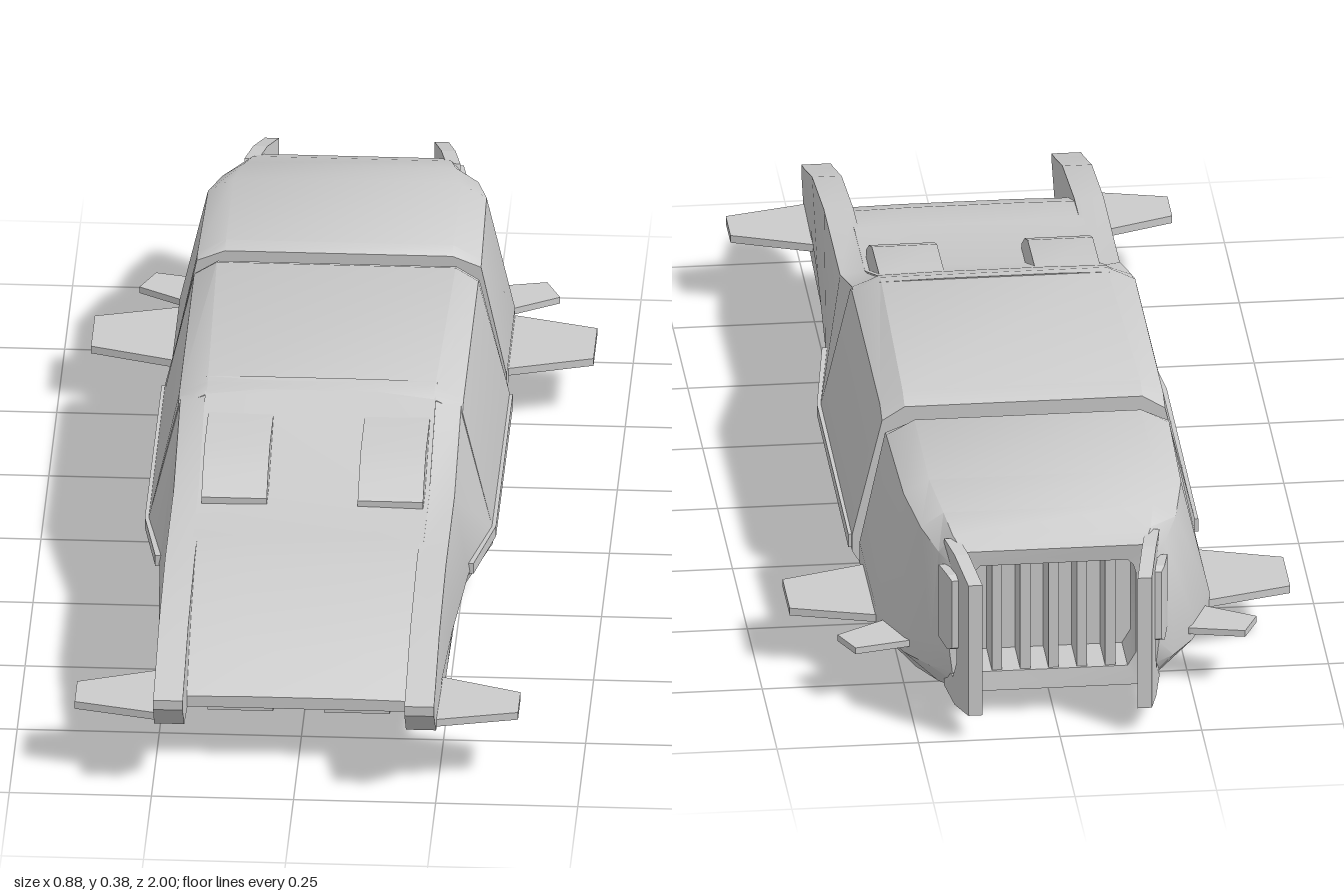
import * as THREE from 'three';
import { toCreasedNormals } from 'three/addons/utils/BufferGeometryUtils.js';

const material = new THREE.MeshStandardMaterial({ color: 0xcccccc });

// Skin rings of [x, y] points (counter-clockwise seen from +z), listed from back to front; side -1 mirrors in x.
function loft(sections, side = 1, crease = 0.5) {
  const rings = sections.map(([z, pts]) => {
    const ring = pts.map(([x, y, dz = 0]) => [x * side, y, z + dz]);
    return side < 0 ? ring.reverse() : ring;
  });
  const n = rings[0].length;
  const index = [];
  for (let i = 0; i < rings.length - 1; i++) {
    for (let j = 0; j < n; j++) {
      const k = (j + 1) % n;
      const a = i * n + j, b = i * n + k, c = a + n, d = b + n;
      index.push(a, b, d, a, d, c);
    }
  }
  const last = (rings.length - 1) * n;
  for (let j = 1; j < n - 1; j++) {
    index.push(0, j + 1, j, last, last + j, last + j + 1);
  }
  const g = new THREE.BufferGeometry();
  g.setAttribute('position', new THREE.Float32BufferAttribute(rings.flat(2), 3));
  g.setIndex(index);
  return toCreasedNormals(g, crease);
}

// Close a right-half outline (bottom to top) into a symmetric ring.
const symmetric = (half) => [...half, ...half.map(([x, y]) => [-x, y]).reverse()];
const rect = (x0, x1, y0, y1) => [[x0, y0], [x1, y0], [x1, y1], [x0, y1]];

// Flat horizontal plate from [x, z] corners.
function plate(corners, y, thickness, side) {
  const shape = new THREE.Shape(corners.map(([x, z]) => new THREE.Vector2(x * side, -z)));
  const g = new THREE.ExtrudeGeometry(shape, { depth: thickness, bevelEnabled: false });
  return g.rotateX(-Math.PI / 2).translate(0, y, 0);
}

export function createModel() {
  const model = new THREE.Group();
  const add = (name, geometry) => {
    const mesh = new THREE.Mesh(geometry, material);
    mesh.name = name;
    model.add(mesh);
    return mesh;
  };

  // Main body, octagonal in section
  const body = (z, top, inset) => [z, symmetric([
    [0.25, 0.002], [0.303, 0.09], [0.303, 0.12], [0.25, top - 0.025], [0.21 - inset, top],
  ])];
  add('mainBody', loft([
    body(-0.385, 0.365, 0), body(-0.35, 0.38, 0), body(0.12, 0.38, 0.01), body(0.15, 0.37, 0.01),
  ]));

  // Sloping nose between the side rails: [z, bottom, top]
  add('nose', loft([
    [0.1, 0.012, 0.38], [0.15, 0.013, 0.37], [0.35, 0.016, 0.285], [0.53, 0.022, 0.282],
    [0.62, 0.045, 0.275], [0.72, 0.075, 0.235], [0.8, 0.098, 0.19], [0.87, 0.115, 0.135],
  ].map(([z, b, t]) => [z, symmetric([[0.2, b], [0.203, t], [0.1, t + 0.002]])])));

  // Neck and rear module with a recessed back
  add('neck', loft([-0.46, -0.36].map((z) => [z, symmetric([
    [0.21, 0.04], [0.242, 0.09], [0.242, 0.25], [0.2, 0.32],
  ])])));
  const opening = [[0.13, 0.085], [0.145, 0.11], [0.145, 0.27], [0.14, 0.28], [0.13, 0.29]];
  add('rearModule', loft([
    [-0.8, symmetric(opening)],
    [-0.895, symmetric(opening)],
    [-0.9, symmetric([[0.15, 0.05], [0.18, 0.09], [0.185, 0.13], [0.18, 0.295], [0.16, 0.32]])],
    [-0.86, symmetric([[0.17, 0.04], [0.215, 0.085], [0.215, 0.13], [0.2, 0.305], [0.175, 0.335]])],
    [-0.8, symmetric([[0.195, 0.027], [0.255, 0.085], [0.255, 0.13], [0.225, 0.325], [0.185, 0.352]])],
    [-0.7, symmetric([[0.225, 0.01], [0.295, 0.09], [0.295, 0.13], [0.245, 0.345], [0.2, 0.37]])],
    [-0.455, symmetric([[0.235, 0.01], [0.295, 0.09], [0.295, 0.13], [0.25, 0.345], [0.2, 0.372]])],
    [-0.435, symmetric([[0.235, 0.01], [0.295, 0.09], [0.295, 0.13], [0.25, 0.34], [0.2, 0.36]])],
  ], 1, 0.6));

  // Vertical grille slats
  for (let i = -2; i <= 2; i++) {
    const slat = new THREE.BoxGeometry(0.018, 0.215, 0.1);
    add('grilleSlat', slat.translate(i * 0.05, 0.187, -0.84));
  }

  for (const side of [1, -1]) {
    const hand = side > 0 ? 'left' : 'right';

    // Side rail tapering to a prong
    const rail = (z, b, t, xMid, yMid, tIn = t) => [z, [
      [0.195, b], [Math.min(0.25, xMid), b], [xMid, yMid], [0.247, t], [0.195, tIn],
    ]];
    add(hand + 'Rail', loft([
      rail(0.12, 0.002, 0.355, 0.303, 0.12, 0.378),
      rail(0.15, 0.004, 0.35, 0.303, 0.12, 0.37),
      rail(0.35, 0.055, 0.28, 0.272, 0.13, 0.285),
      rail(0.62, 0.082, 0.28, 0.258, 0.15),
      rail(0.82, 0.1, 0.25, 0.25, 0.15),
      rail(0.95, 0.12, 0.205, 0.248, 0.15),
      rail(1.0, 0.172, 0.19, 0.247, 0.18),
    ], side));

    // Thin strake along the lower flank
    add(hand + 'Strake', loft([
      [-0.38, rect(0.28, 0.309, 0.095, 0.12)],
      [0.15, rect(0.28, 0.309, 0.105, 0.125)],
      [0.34, rect(0.25, 0.28, 0.125, 0.145)],
    ], side));

    // Hood scoop and underside scoop
    add(hand + 'HoodScoop', loft([
      [0.155, rect(0.08, 0.195, 0.26, 0.355)],
      [0.31, rect(0.08, 0.195, 0.26, 0.35)],
      [0.36, rect(0.08, 0.195, 0.26, 0.33)],
      [0.41, rect(0.08, 0.195, 0.26, 0.297)],
    ], side));
    add(hand + 'BellyScoop', loft([
      [0.58, rect(0.045, 0.16, 0.037, 0.09)],
      [0.68, rect(0.045, 0.16, 0.037, 0.12)],
      [0.76, rect(0.045, 0.16, 0.065, 0.13)],
      [0.84, rect(0.045, 0.16, 0.095, 0.125)],
    ], side));

    // Winglets
    add(hand + 'FrontWinglet', plate(
      [[0.23, 0.77], [0.39, 0.83], [0.39, 0.91], [0.23, 0.95]], 0.125, 0.014, side));
    add(hand + 'RearFin', plate(
      [[0.27, -0.71], [0.442, -0.66], [0.442, -0.54], [0.27, -0.485]], 0.1, 0.014, side));
    add(hand + 'SmallFin', plate(
      [[0.215, -0.8], [0.25, -0.815], [0.344, -0.836], [0.37, -0.778], [0.275, -0.72], [0.215, -0.72]],
      0.102, 0.012, side));

    // Rear guard: a bent C-shaped plate hooked to the body at top and bottom
    const guard = new THREE.Shape([
      [0.84, 0.29], [0.86, 0.33], [0.92, 0.325], [1.0, 0.302], [1.0, 0.05], [0.92, 0.035], [0.86, 0.045],
      [0.84, 0.08], [0.91, 0.085], [0.93, 0.12], [0.93, 0.26], [0.91, 0.285],
    ].map(([x, y]) => new THREE.Vector2(x, y)));
    const g = new THREE.ExtrudeGeometry(guard, { depth: 0.025, bevelEnabled: false });
    const p = g.attributes.position;
    for (let i = 0; i < p.count; i++) {
      const back = p.getX(i);
      const x = 0.165 + p.getZ(i) - 0.2 * Math.max(0, back - 0.86);
      p.setXYZ(i, x, p.getY(i), -back);
    }
    if (side < 0) {
      // Mirror and turn each triangle around
      for (let i = 0; i < p.count; i++) p.setX(i, -p.getX(i));
      for (let i = 0; i < p.count; i += 3) {
        const a = [p.getX(i), p.getY(i), p.getZ(i)];
        p.setXYZ(i, p.getX(i + 1), p.getY(i + 1), p.getZ(i + 1));
        p.setXYZ(i + 1, ...a);
      }
    }
    g.computeVertexNormals();
    add(hand + 'RearGuard', g);

    // Small panel on the outside of the guard
    add(hand + 'GuardPanel', loft([
      [-0.942, rect(0.165, 0.185, 0.155, 0.285)],
      [-0.93, rect(0.165, 0.192, 0.148, 0.292)],
      [-0.88, rect(0.17, 0.202, 0.15, 0.29)],
    ], side));
  }
  return model;
}
